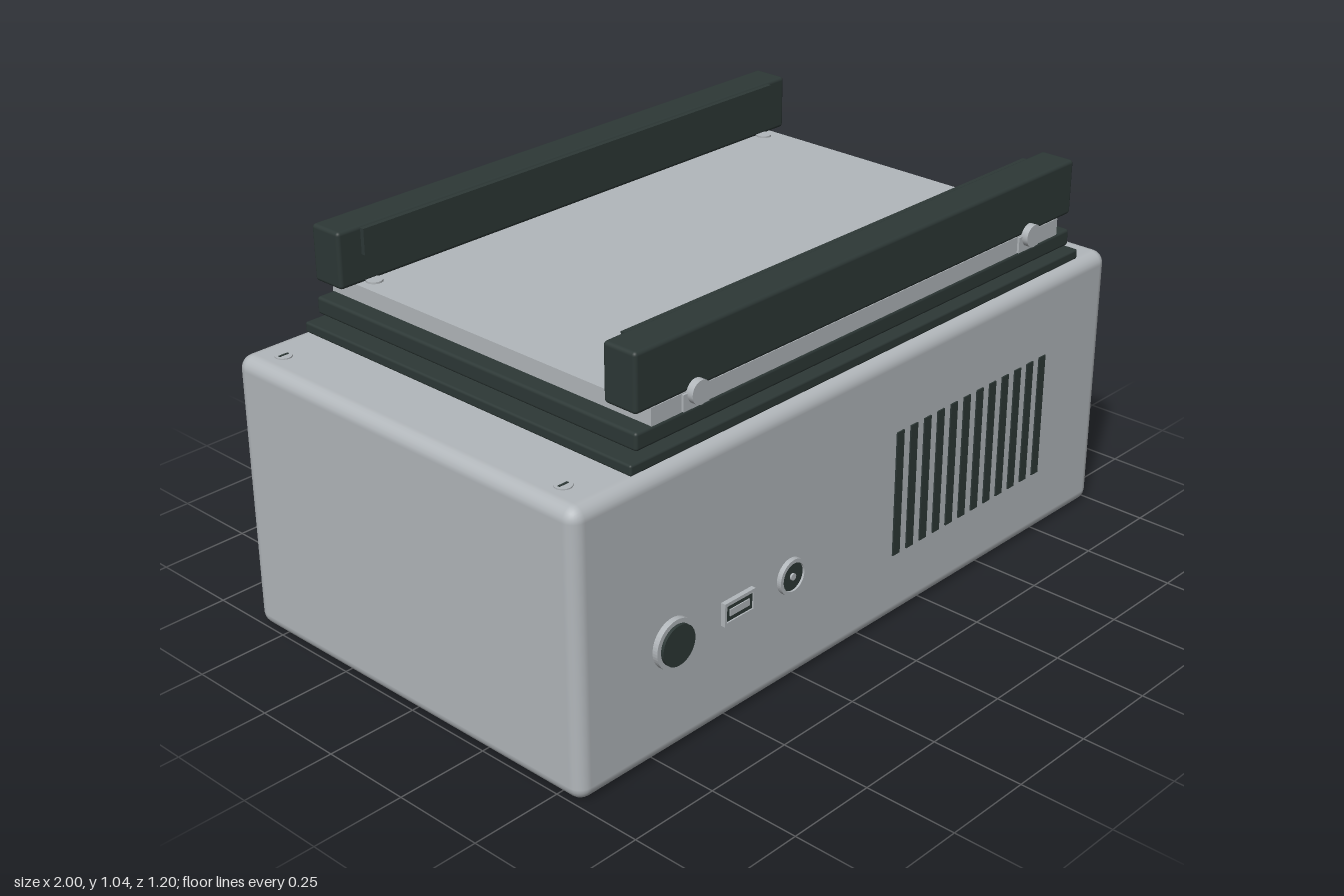
import * as THREE from 'three';
import { RoundedBoxGeometry } from 'three/addons/geometries/RoundedBoxGeometry.js';

export function createModel() {
  const model = new THREE.Group();
  model.name = 'instrumentBox';

  const grey = new THREE.MeshStandardMaterial({ color: 0xb2b7bb });
  grey.name = 'light grey metal';
  const dark = new THREE.MeshStandardMaterial({ color: 0x2d3836 });
  dark.name = 'dark green grey plastic';

  function add(name, geometry, material, x, y, z) {
    const mesh = new THREE.Mesh(geometry, material);
    mesh.name = name;
    mesh.position.set(x, y, z);
    model.add(mesh);
    return mesh;
  }

  // Box given by its limits on each axis, with optionally rounded edges
  function block(name, material, [x0, x1], [y0, y1], [z0, z1], radius = 0) {
    const size = [x1 - x0, y1 - y0, z1 - z0];
    const geometry = radius
      ? new RoundedBoxGeometry(...size, 3, radius)
      : new THREE.BoxGeometry(...size);
    return add(name, geometry, material, (x0 + x1) / 2, (y0 + y1) / 2, (z0 + z1) / 2);
  }

  // Cylinder along z between z0 and z1
  function peg(name, material, radius, x, y, z0, z1) {
    const geometry = new THREE.CylinderGeometry(radius, radius, z1 - z0, 32);
    geometry.rotateX(Math.PI / 2);
    return add(name, geometry, material, x, y, (z0 + z1) / 2);
  }

  // Flat ring facing the front, made of an outline with a hole
  function collar(name, outline, hole, x, y, z0, z1) {
    outline.holes.push(hole);
    const geometry = new THREE.ExtrudeGeometry(outline, {
      depth: z1 - z0, bevelEnabled: false, curveSegments: 24,
    });
    return add(name, geometry, grey, x, y, z0);
  }
  const circle = (r) => new THREE.Shape().absarc(0, 0, r, 0, Math.PI * 2);
  const rectangle = (w, h) => new THREE.Shape([
    new THREE.Vector2(-w / 2, -h / 2), new THREE.Vector2(w / 2, -h / 2),
    new THREE.Vector2(w / 2, h / 2), new THREE.Vector2(-w / 2, h / 2),
  ]);

  // Main housing
  block('housing', grey, [-1, 1], [0, 0.755], [-0.595, 0.577], 0.036);

  // Stacked mounting frames and the display panel
  block('gasket', dark, [-0.8, 0.89], [0.755, 0.783], [-0.573, 0.552], 0.006);
  block('panelFrame', dark, [-0.77, 0.86], [0.8, 0.846], [-0.558, 0.54], 0.008);
  block('topPanel', grey, [-0.72, 0.806], [0.84, 0.89], [-0.555, 0.537]);

  // Clamping rails, mirrored front and back about the panel centre
  const centre = -0.009;
  const sides = [1, -1];
  for (const s of sides) {
    const span = (a, b) => [centre + s * a, centre + s * b].sort((p, q) => p - q);
    const end = s > 0 ? 'front' : 'back';
    block(end + 'Rail', dark, [-0.77, 0.86], [0.889, 1.039], span(0.449, 0.549), 0.01);
    block(end + 'RailLip', dark, [-0.7, 0.79], [0.965, 1.034], span(0.437, 0.452));

    // Clamp screws with brackets, and their feet on the panel
    for (const x of [-0.58, 0.673]) {
      block(end + 'ClampBracket', grey, [x - 0.042, x + 0.042], [0.846, 0.888], span(0.5, 0.552));
      peg(end + 'ClampScrew', grey, 0.03, x, 0.886, ...span(0.535, 0.568));
    }
    for (const x of [-0.675, 0.762]) {
      add(end + 'PanelScrew', new THREE.CylinderGeometry(0.022, 0.022, 0.006, 20),
        grey, x, 0.892, centre + s * 0.438);
    }
  }

  // Slotted screws on the corners of the housing top
  for (const x of [-0.925, 0.917]) {
    for (const z of [-0.5, 0.47]) {
      add('cornerScrew', new THREE.CylinderGeometry(0.022, 0.022, 0.006, 20), grey, x, 0.755, z);
      block('cornerScrewSlot', dark, [x - 0.014, x + 0.014], [0.756, 0.7595], [z - 0.003, z + 0.003]);
    }
  }

  // Ventilation slots
  for (let i = 0; i < 12; i++) {
    const x = 0.121 + i * 0.0542;
    block('ventSlot', dark, [x - 0.0135, x + 0.0135], [0.188, 0.537], [0.574, 0.581]);
  }

  // Round connector
  const y = 0.3;
  collar('roundConnectorCollar', circle(0.065), circle(0.053), -0.698, y, 0.57, 0.592);
  peg('roundConnectorCap', dark, 0.053, -0.698, y, 0.57, 0.6);

  // Rectangular socket
  collar('socketFrame', rectangle(0.106, 0.062), rectangle(0.092, 0.044), -0.48, y, 0.57, 0.59);
  block('socketOpening', dark, [-0.526, -0.434], [y - 0.022, y + 0.022], [0.57, 0.586]);
  block('socketTongue', grey, [-0.514, -0.446], [y - 0.009, y + 0.009], [0.575, 0.589]);

  // Power jack
  collar('powerJackCollar', circle(0.048), circle(0.038), -0.288, y, 0.57, 0.59);
  peg('powerJackOpening', dark, 0.038, -0.288, y, 0.57, 0.584);
  peg('powerJackPin', grey, 0.009, -0.288, y, 0.575, 0.589);

  return model;
}
